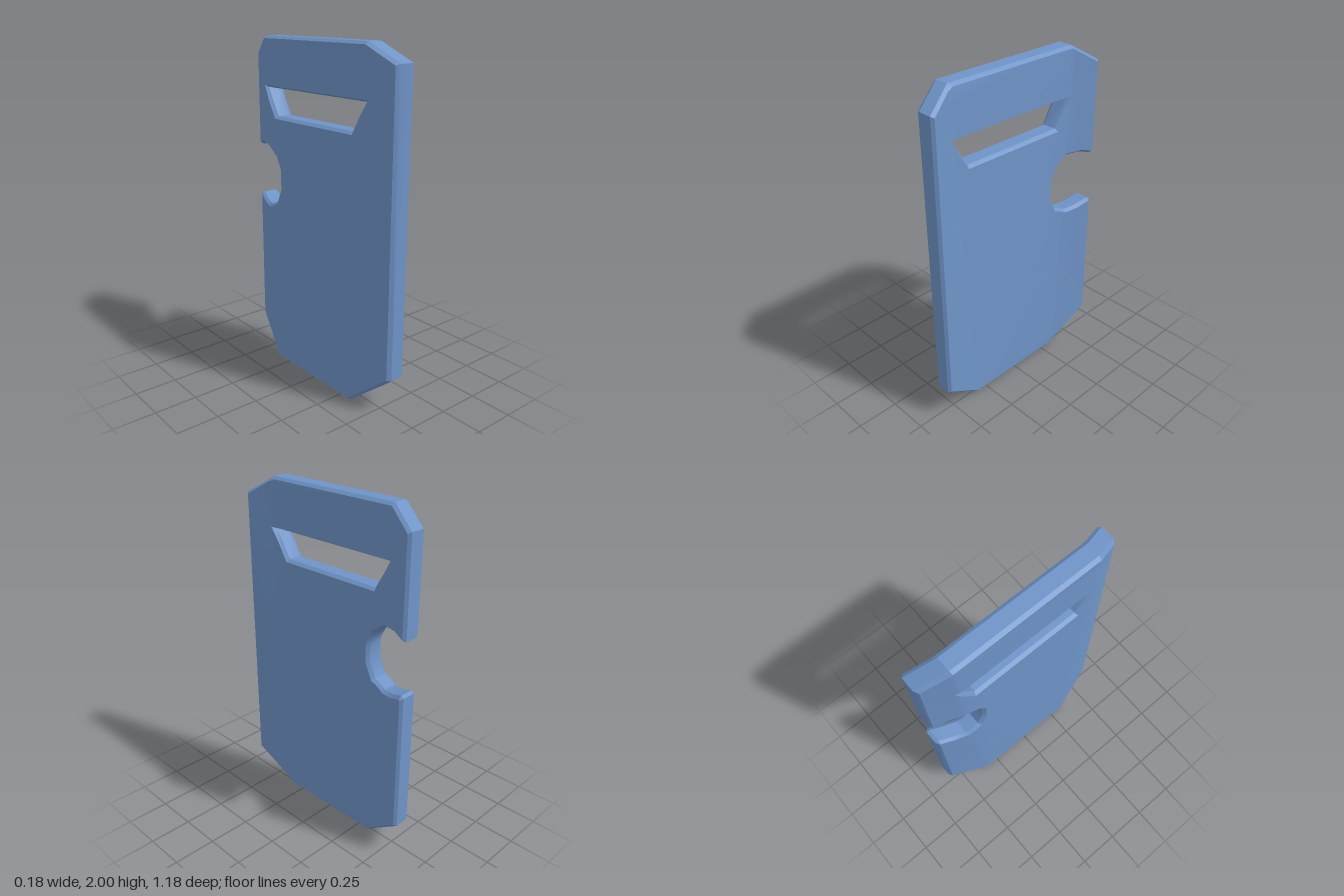
import * as THREE from 'three';
import { toCreasedNormals } from 'three/addons/utils/BufferGeometryUtils.js';

// Fold line of the side wings: slants slightly inward towards the bottom.
const foldAt = (y) => 0.34 + 0.045 * y;

// Splits every triangle that crosses dist(p) = 0, so the plate can bend there.
function split(triangles, dist) {
  const out = [];
  for (const tri of triangles) {
    const d = tri.map(dist);
    const above = [], below = [];
    for (let i = 0; i < 3; i++) {
      const j = (i + 1) % 3;
      if (d[i] >= -1e-6) above.push(tri[i]);
      if (d[i] <= 1e-6) below.push(tri[i]);
      if ((d[i] > 1e-6 && d[j] < -1e-6) || (d[i] < -1e-6 && d[j] > 1e-6)) {
        const p = tri[i].clone().lerp(tri[j], d[i] / (d[i] - d[j]));
        above.push(p);
        below.push(p);
      }
    }
    for (const poly of [above, below]) {
      for (let k = 2; k < poly.length; k++) out.push([poly[0], poly[k - 1], poly[k]]);
    }
  }
  return out;
}

function plateGeometry() {
  // Outline with cut corners and a rounded notch in one side
  const outline = [
    [-0.33, 0], [0.33, 0], [0.59, 0.21],
    [0.59, 1.03], [0.57, 1.04], [0.49, 1.01], [0.42, 1.0], [0.34, 1.035], [0.3, 1.12],
    [0.3, 1.235], [0.335, 1.305], [0.41, 1.36], [0.5, 1.365], [0.57, 1.345], [0.59, 1.35],
    [0.59, 1.9], [0.43, 2], [-0.43, 2], [-0.59, 1.9], [-0.59, 0.21],
  ];
  const points = (list) => list.map(([x, y]) => new THREE.Vector2(x, y));
  const shape = new THREE.Shape(points(outline));

  // Viewing slot
  shape.holes.push(new THREE.Path(points([[-0.425, 1.71], [0.42, 1.71], [0.325, 1.55], [-0.325, 1.55]])));

  const flat = new THREE.ExtrudeGeometry(shape, {
    depth: 0.08, bevelEnabled: true, bevelSegments: 1,
    bevelThickness: 0.02, bevelSize: 0.015, bevelOffset: -0.015,
  });
  flat.rotateY(Math.PI / 2).translate(-0.07, 0, 0);

  const pos = (flat.index ? flat.toNonIndexed() : flat).attributes.position;
  let triangles = [];
  for (let i = 0; i < pos.count; i += 3) {
    triangles.push([0, 1, 2].map((k) => new THREE.Vector3().fromBufferAttribute(pos, i + k)));
  }

  // Cuts on both sides of each fold, plus a few level ones
  for (const side of [-1, 1]) {
    for (const offset of [-0.02, 0.02]) {
      triangles = split(triangles, (p) => side * p.z - foldAt(p.y) - offset);
    }
  }
  for (const level of [0.6, 1.2, 1.8]) triangles = split(triangles, (p) => p.y - level);

  // Bend the wings towards +x
  const bent = triangles.flat().map((p) => {
    const fold = foldAt(p.y);
    const bend = 0.06 * Math.max(0, (Math.abs(p.z) - fold) / (0.58 - fold));
    return new THREE.Vector3(p.x + bend, p.y, p.z);
  });
  return toCreasedNormals(new THREE.BufferGeometry().setFromPoints(bent), 0.55);
}

export function createModel() {
  const group = new THREE.Group();
  group.name = 'shield';
  const plate = new THREE.Mesh(plateGeometry(), new THREE.MeshStandardMaterial({ color: 0x6f94c8 }));
  plate.name = 'shieldPlate';
  group.add(plate);
  return group;
}
